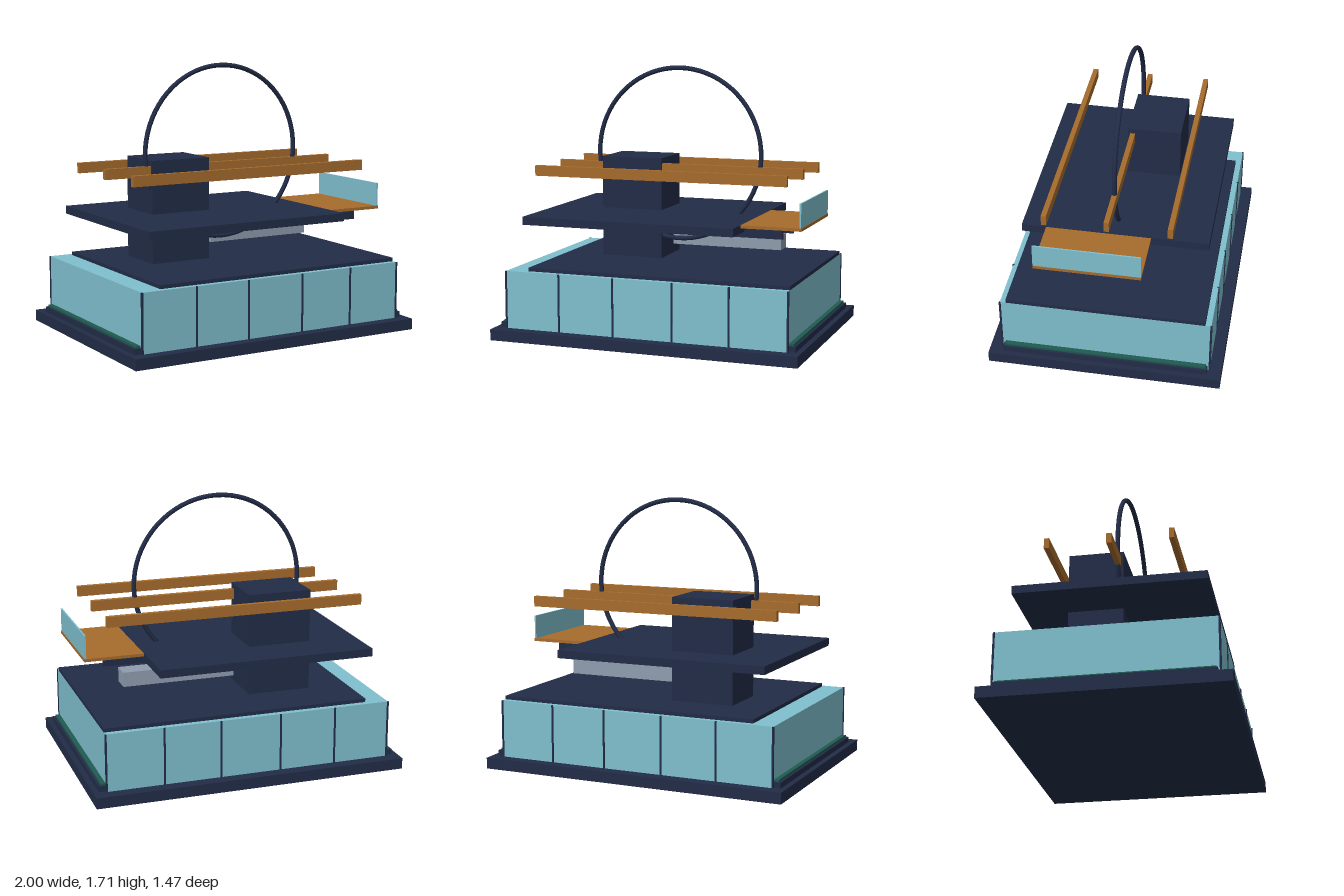
import * as THREE from 'three';

const material = (name, color) => {
  const m = new THREE.MeshStandardMaterial({ color });
  m.name = name;
  return m;
};

export function createModel() {
  const navy = material('navy', 0x222c47);
  const glass = material('glass blue', 0x7fbfcd);
  const wood = material('wood', 0xa66b2c);
  const green = material('hedge green', 0x1f5a50);
  const grey = material('grey', 0x8f9cae);

  const model = new THREE.Group();
  model.name = 'pavilion';

  // Box given by its extents along each axis
  const box = (name, mat, [x0, x1], [y0, y1], [z0, z1]) => {
    const mesh = new THREE.Mesh(new THREE.BoxGeometry(x1 - x0, y1 - y0, z1 - z0), mat);
    mesh.position.set((x0 + x1) / 2, (y0 + y1) / 2, (z0 + z1) / 2);
    mesh.name = name;
    model.add(mesh);
    return mesh;
  };
  const around = (c, w) => [c - w / 2, c + w / 2];

  // Stepped base
  box('basePlinth', navy, [-1, 1], [0, 0.07], [-0.735, 0.735]);
  box('baseStep', navy, [-0.965, 0.965], [0.07, 0.105], [-0.647, 0.647]);
  box('planting', green, [-0.95, 0.95], [0.105, 0.118], [-0.637, 0.637]);

  // Glazed ground floor with mullions on front and back
  box('glassHall', glass, [-0.92, 0.92], [0.07, 0.437], [-0.66, 0.66]);
  for (const z of [-0.66, 0.66]) {
    for (const x of [-0.919, -0.557, -0.195, 0.193, 0.555, 0.919]) {
      box('mullion', navy, around(x, 0.011), [0.07, 0.437], around(z, 0.012));
    }
  }

  // Roof slab, core tower and upper slab
  box('roofSlab', navy, [-0.78, 0.92], [0.437, 0.46], [-0.623, 0.623]);
  box('coreTower', navy, [-0.52, -0.11], [0.46, 1.115], [-0.313, 0.032]);
  box('upperSlab', navy, [-0.835, 0.555], [0.725, 0.776], [-0.59, 0.59]);

  // Balcony with brackets and glass rail
  box('balconyDeck', wood, [0.555, 0.935], [0.756, 0.775], [-0.228, 0.435]);
  box('balconyRail', glass, [0.922, 0.932], [0.775, 0.925], [-0.226, 0.435]);
  for (const z of [0.35, 0.105, -0.137]) {
    box('balconyBracket', navy, [0.32, 0.797], [0.688, 0.756], around(z, 0.02));
  }

  // Bar hanging below the upper slab
  box('lowerBar', grey, [-0.055, 0.675], [0.548, 0.642], [-0.167, -0.042]);

  // Overhead beams
  for (const z of [-0.384, 0, 0.38]) {
    box('overheadBeam', wood, [-0.835, 0.83], [1.014, 1.08], around(z, 0.032));
  }

  // Upright ring
  const ring = new THREE.Mesh(new THREE.TorusGeometry(0.552, 0.015, 10, 72), navy);
  ring.position.set(0, 1.147, 0);
  ring.name = 'ring';
  model.add(ring);

  return model;
}
